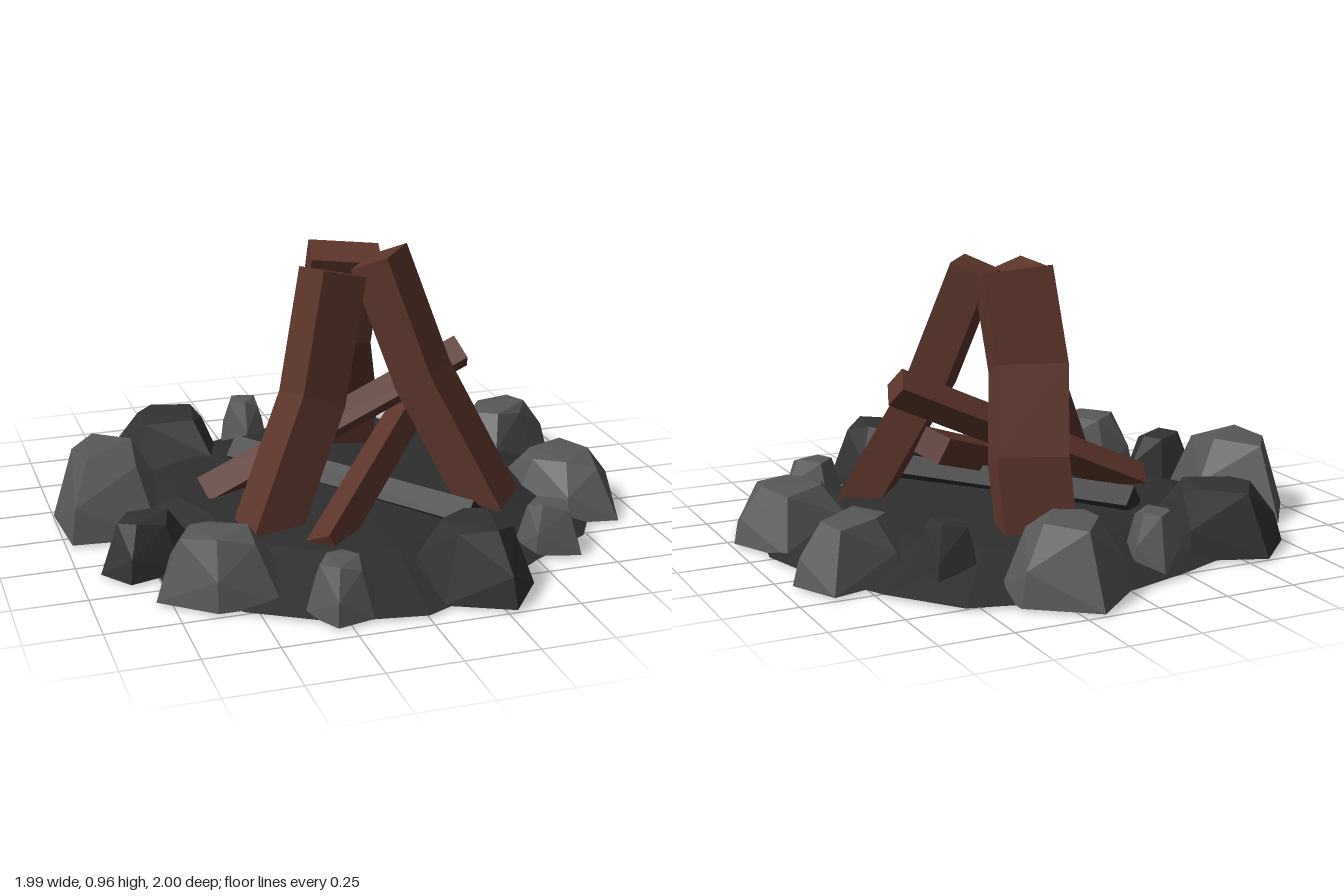
import * as THREE from 'three';
import { ConvexGeometry } from 'three/addons/geometries/ConvexGeometry.js';

const material = (name, color, side = THREE.FrontSide) => {
  const m = new THREE.MeshStandardMaterial({ color, side, flatShading: true });
  m.name = name;
  return m;
};

// Footprint corners as x, z pairs, with the height of each stone
const lightStones = [
  { h: 0.25, foot: [0.19, -1, 0.4, -0.84, 0.4, -0.68, 0.2, -0.57, 0.02, -0.62, 0.01, -0.84] },
  { h: 0.2, foot: [-0.16, -0.77, -0.08, -0.7, -0.1, -0.58, -0.19, -0.55, -0.28, -0.63, -0.25, -0.74] },
  { h: 0.27, foot: [-0.84, -0.42, -0.61, -0.22, -0.68, 0.11, -0.98, 0.08, -1, -0.2] },
  { h: 0.22, foot: [-0.6, 0.42, -0.38, 0.56, -0.42, 0.74, -0.63, 0.74, -0.8, 0.6, -0.74, 0.45] },
  { h: 0.17, foot: [-0.2, 0.67, -0.12, 0.78, -0.17, 0.92, -0.3, 0.95, -0.37, 0.82, -0.31, 0.7] },
  { h: 0.17, foot: [0.55, 0.46, 0.68, 0.57, 0.65, 0.68, 0.5, 0.64, 0.44, 0.57] },
  { h: 0.19, foot: [0.88, -0.04, 0.99, 0.2, 0.9, 0.45, 0.72, 0.42, 0.58, 0.24, 0.6, 0.06] },
  { h: 0.2, foot: [0.88, -0.49, 0.96, -0.32, 0.85, -0.2, 0.65, -0.08, 0.53, -0.26, 0.62, -0.42] },
];
const darkStones = [
  { h: 0.22, foot: [-0.57, -0.76, -0.31, -0.66, -0.3, -0.5, -0.37, -0.31, -0.68, -0.4, -0.73, -0.6] },
  { h: 0.18, foot: [-0.72, 0.19, -0.6, 0.25, -0.67, 0.4, -0.85, 0.45, -0.93, 0.34, -0.87, 0.22] },
  { h: 0.23, foot: [0.22, 0.58, 0.35, 0.64, 0.41, 0.83, 0.28, 1, 0.07, 0.9, 0.02, 0.7] },
  { h: 0.2, foot: [0.42, -0.6, 0.57, -0.59, 0.58, -0.4, 0.54, -0.37, 0.41, -0.37, 0.38, -0.48] },
];

// Faceted stone: base, a shoulder on every other corner and an uneven crown
function stoneGeometry({ h, foot }) {
  const n = foot.length / 2;
  let cx = 0, cz = 0;
  for (let i = 0; i < n; i++) { cx += foot[2 * i] / n; cz += foot[2 * i + 1] / n; }
  const points = [];
  const add = (i, scale, y) => points.push(new THREE.Vector3(
    cx + (foot[2 * i] - cx) * scale, y, cz + (foot[2 * i + 1] - cz) * scale));
  for (let i = 0; i < n; i++) {
    add(i, 1, 0);
    if (i % 2) add(i, 0.88, h * 0.45);
    add(i, i % 2 ? 0.5 : 0.6, h * (i === 2 ? 0.88 : i % 2 ? 1 : 0.95));
  }
  return new ConvexGeometry(points);
}

// Square timber along a path of centre points, foot to top, rolled about its axis
function timberGeometry(points, width, depth, roll = 0) {
  const path = points.map((p) => new THREE.Vector3(...p));
  const last = path.length - 1;
  const along = path[last].clone().sub(path[0]);
  const level = new THREE.Vector3(along.z, 0, -along.x).normalize();
  const g = new THREE.BoxGeometry(width, last, depth, 1, last, 1);
  const pos = g.attributes.position;
  for (let i = 0; i < pos.count; i++) {
    const k = Math.round(pos.getY(i) + last / 2);
    const axis = path[Math.min(k + 1, last)].clone().sub(path[Math.max(k - 1, 0)]).normalize();
    const side = level.clone().addScaledVector(axis, -level.dot(axis)).normalize().applyAxisAngle(axis, -roll);
    const normal = side.clone().cross(axis);
    const p = path[k].clone().addScaledVector(side, pos.getX(i)).addScaledVector(normal, pos.getZ(i));
    pos.setXYZ(i, p.x, p.y, p.z);
  }
  g.computeVertexNormals();
  return g;
}

// Low open mound with an irregular rim
function ashGeometry() {
  const radii = [0.95, 0.87, 0.83, 0.9, 0.92, 0.93, 0.9, 0.9, 0.94, 0.88,
    0.84, 0.8, 0.82, 0.85, 0.87, 0.87, 0.8, 0.92, 0.93, 0.95];
  const profile = [[0, 0.11], [0.68, 0.1], [1, 0]].map((p) => new THREE.Vector2(...p));
  const g = new THREE.LatheGeometry(profile, radii.length);
  const pos = g.attributes.position;
  for (let i = 0; i < pos.count; i++) {
    const r = radii[Math.floor(i / profile.length) % radii.length];
    pos.setX(i, pos.getX(i) * r);
    pos.setZ(i, pos.getZ(i) * r);
  }
  g.computeVertexNormals();
  return g;
}

export function createModel() {
  const group = new THREE.Group();
  group.name = 'campfire';
  const wood = material('brown wood', 0x5c352b);
  const charred = material('charred wood', 0x2b2b2b);
  const lightStone = material('grey stone', 0x585858);
  const darkStone = material('dark stone', 0x323232);
  const ash = material('ash', 0x2e2e2e, THREE.DoubleSide);

  const add = (name, geometry, mat) => {
    const mesh = new THREE.Mesh(geometry, mat);
    mesh.name = name;
    group.add(mesh);
  };

  add('ashBed', ashGeometry(), ash);
  lightStones.forEach((s, i) => add(`greyStone${i + 1}`, stoneGeometry(s), lightStone));
  darkStones.forEach((s, i) => add(`darkStone${i + 1}`, stoneGeometry(s), darkStone));

  // Three bent logs leaning together
  add('backLog', timberGeometry(
    [[0.12, 0.05, -0.4], [0.12, 0.32, -0.33], [0.04, 0.6, -0.17], [0.05, 0.92, -0.07]], 0.25, 0.14), wood);
  add('leftLog', timberGeometry(
    [[0.47, 0.06, 0.32], [0.26, 0.52, 0.16], [0.13, 0.93, 0.06]], 0.22, 0.14), wood);
  add('rightLog', timberGeometry(
    [[-0.37, 0.05, 0.33], [-0.15, 0.48, 0.18], [-0.05, 0.9, 0.1]], 0.17, 0.17, 0.42), wood);

  // Straight sticks lying between the logs
  const stick = (name, a, b, size, roll, mat) => add(name, timberGeometry([a, b], size, size, roll), mat);
  stick('crossStick', [-0.49, 0.1, -0.01], [0.46, 0.54, 0.01], 0.095, 0.7, wood);
  stick('diagonalStick', [-0.22, 0.08, 0.54], [0.42, 0.38, -0.21], 0.095, 0.4, wood);
  stick('charredStick', [-0.29, 0.12, -0.33], [0.32, 0.12, 0.52], 0.085, 0.7, charred);

  return group;
}
